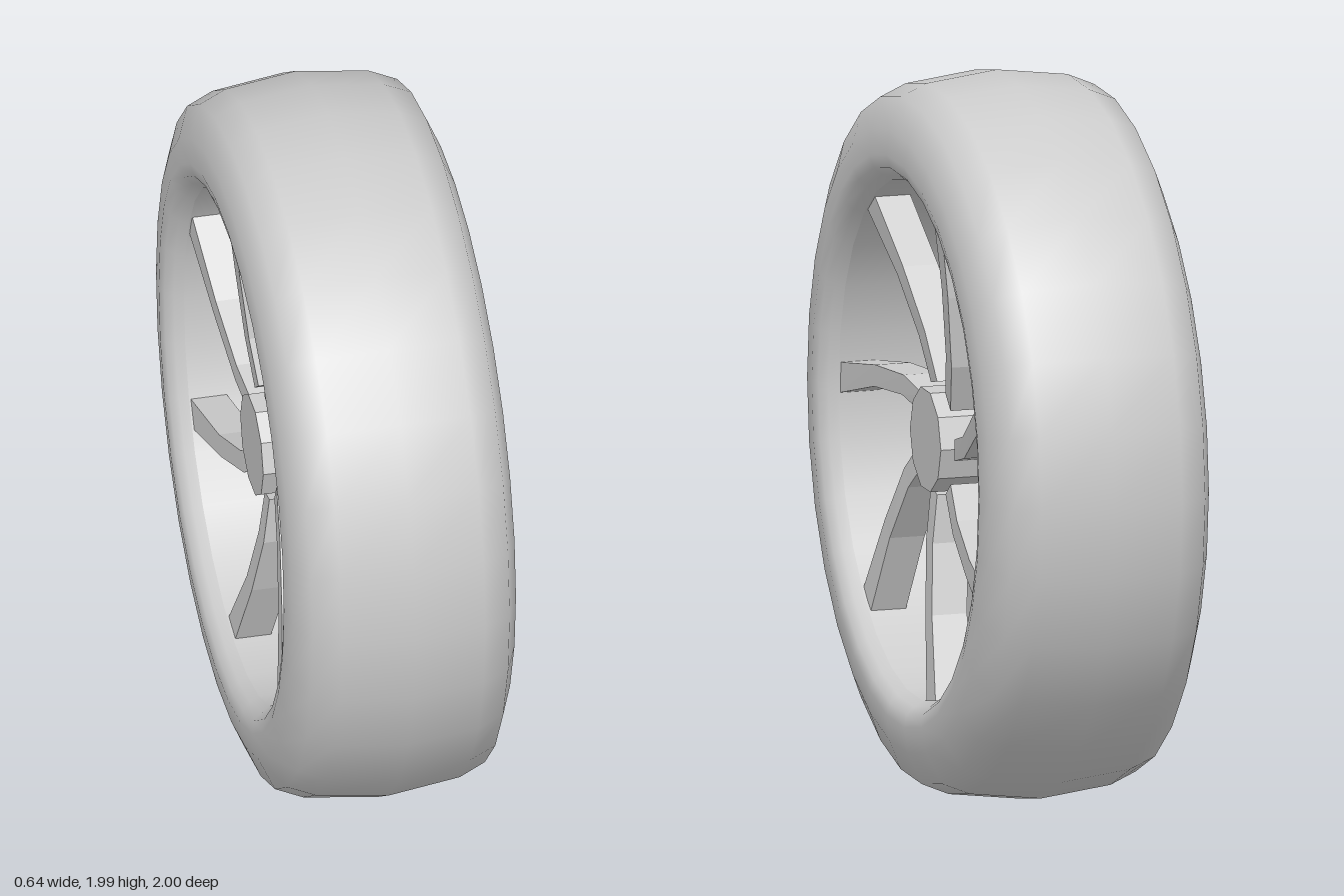
import * as THREE from 'three';

const SIDES = 30;
const RADIUS = 1;
const RIM_RADIUS = 0.715;
const CENTRE_Y = RADIUS * Math.cos(Math.PI / SIDES);

const grey = new THREE.MeshStandardMaterial({ color: 0xcccccc });
grey.name = 'light grey';
const greyTwoSided = grey;

function addMesh(parent, name, geometry) {
  const mesh = new THREE.Mesh(geometry, greyTwoSided);
  mesh.name = name;
  parent.add(mesh);
  return mesh;
}

// Ring turned around the axle (x), from [radius, x] points
function turned(points) {
  const profile = points.map(([r, x]) => new THREE.Vector2(r, x));
  return new THREE.LatheGeometry(profile, SIDES).rotateZ(-Math.PI / 2);
}

// Curved, slightly dished bar: along, up, half width, width direction, front depth
const STATIONS = [
  { u: 0.155, v: 0.0, half: 0.03, dir: [0, 1], front: 0.2 },
  { u: 0.29, v: 0.037, half: 0.03, dir: [-0.2, 0.98], front: 0.215 },
  { u: 0.463, v: 0.137, half: 0.031, dir: [-0.34, 0.94], front: 0.235 },
  { u: 0.652, v: 0.287, half: 0.043, dir: [-0.38, 0.92], front: 0.26 },
];

function spokeGeometry(side) {
  const box = new THREE.BoxGeometry(3, 2, 1, 3, 1, 1);
  const pos = box.attributes.position;
  for (let i = 0; i < pos.count; i++) {
    const s = STATIONS[Math.round(pos.getX(i) + 1.5)];
    const offset = pos.getY(i) * s.half;
    pos.setXYZ(
      i,
      s.u + s.dir[0] * offset * side,
      s.v * side + s.dir[1] * offset,
      s.front + (pos.getZ(i) - 0.5) * 0.1
    );
  }
  const flat = box.toNonIndexed();
  flat.computeVertexNormals();
  return flat;
}

// Hub and seven spokes on one face of the wheel; the other face is its mirror image
function wheelFace(side) {
  const face = new THREE.Group();
  face.name = side > 0 ? 'leftFace' : 'rightFace';
  face.rotation.y = (side * Math.PI) / 2;

  const hub = new THREE.CylinderGeometry(0.145, 0.145, 0.135, 10).toNonIndexed();
  hub.computeVertexNormals();
  hub.rotateX(Math.PI / 2).rotateZ(Math.PI / 2);
  addMesh(face, 'hub', hub).position.z = 0.1675;

  const geometry = spokeGeometry(side);
  for (let i = 0; i < 7; i++) {
    const spoke = addMesh(face, 'spoke', geometry);
    spoke.rotation.z = (side * i * Math.PI * 2) / 7 + (side > 0 ? 0 : Math.PI);
  }

  // Closed wall in the middle of the rim
  const wall = new THREE.CircleGeometry(RIM_RADIUS, SIDES);
  addMesh(face, 'centreWall', wall).position.z = 0.005;
  return face;
}

export function createModel() {
  const wheel = new THREE.Group();
  wheel.name = 'wheel';

  // Rounded tyre section, mirrored about its middle
  const half = [
    [0.975, 0.2], [0.943, 0.275], [0.855, 0.312], [0.785, 0.32],
    [0.75, 0.312], [0.73, 0.29], [RIM_RADIUS, 0.265],
  ];
  const mirrored = half.map(([r, x]) => [r, -x]).reverse();
  addMesh(wheel, 'tyre', turned([...mirrored, [RADIUS, 0], ...half]));

  // Inner barrel, facing the axle
  addMesh(wheel, 'rim', turned([[RIM_RADIUS, 0.265], [RIM_RADIUS, -0.265]]));

  wheel.add(wheelFace(1), wheelFace(-1));
  wheel.position.y = CENTRE_Y;

  const model = new THREE.Group();
  model.name = 'model';
  model.add(wheel);
  return model;
}
